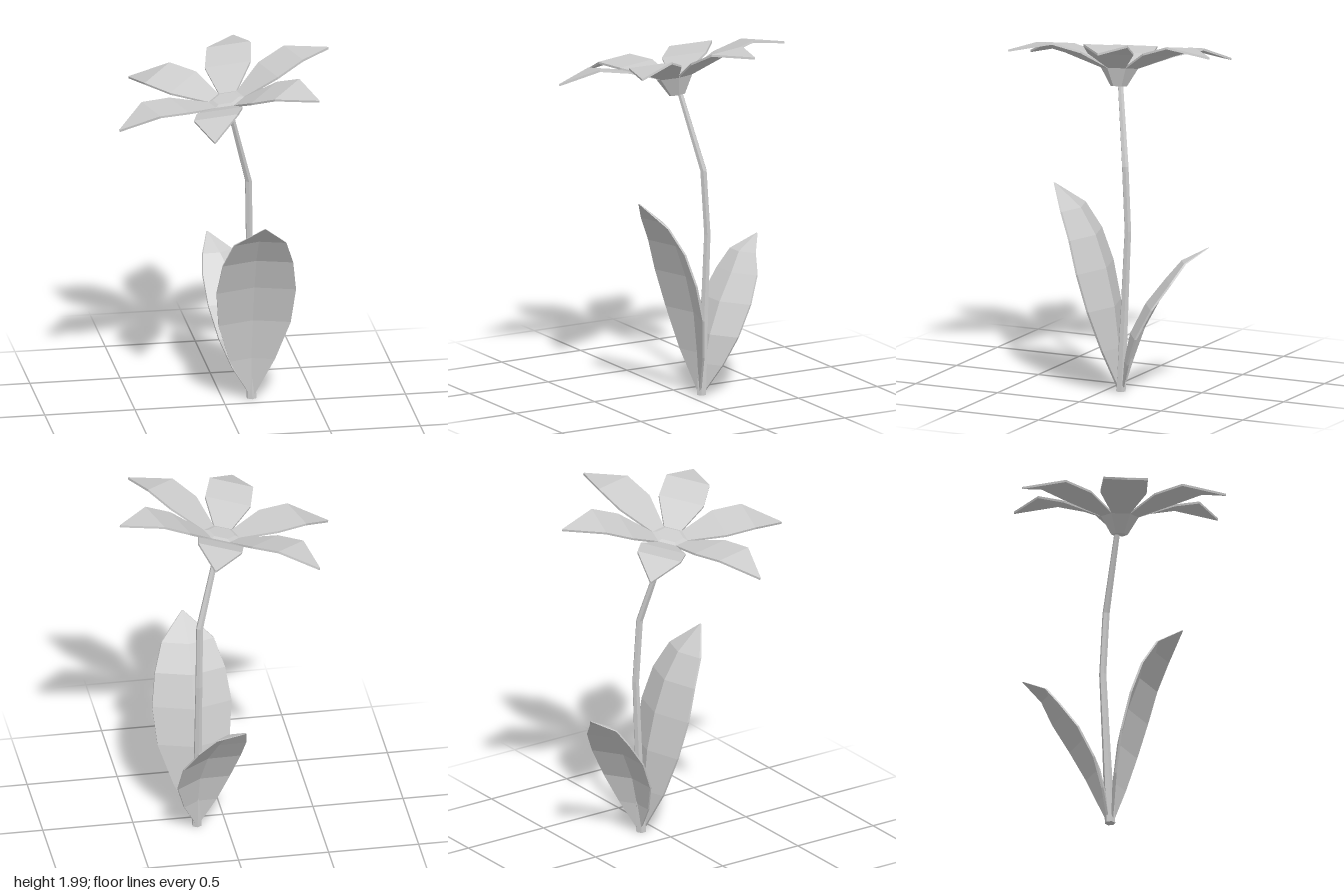
import * as THREE from 'three';

const V = (x, y, z) => new THREE.Vector3(x, y, z);
const material = new THREE.MeshStandardMaterial({ color: 0xcccccc, flatShading: true });

// Skin a series of closed loops (counter-clockwise about the direction of travel), capped at both ends
function loft(name, rings) {
  const n = rings[0].length;
  const index = [];
  for (let i = 0; i < rings.length - 1; i++) {
    for (let j = 0; j < n; j++) {
      const k = (j + 1) % n;
      const a = i * n + j, b = i * n + k, c = b + n, d = a + n;
      index.push(a, b, c, a, c, d);
    }
  }
  const last = (rings.length - 1) * n;
  const half = n / 2;
  // caps as strips between the two halves of the loop
  for (let j = 0; j < half - 1; j++) {
    const a = j, b = j + 1, c = n - 2 - j, d = n - 1 - j;
    index.push(a, c, b, a, d, c);
    index.push(last + a, last + b, last + c, last + a, last + c, last + d);
  }
  const geometry = new THREE.BufferGeometry().setFromPoints(rings.flat());
  geometry.setIndex(index);
  geometry.computeVertexNormals();
  const mesh = new THREE.Mesh(geometry, material);
  mesh.name = name;
  return mesh;
}

// Stem: tapering six-sided tube; stations are [x, y, z, radius]
function makeStem() {
  const stations = [
    [0.16, 0, -0.085, 0.029],
    [0.157, 0.45, -0.105, 0.023],
    [0.155, 0.9, -0.125, 0.02],
    [0.147, 1.26, -0.105, 0.02],
    [0.035, 1.69, -0.02, 0.016],
  ];
  return loft('stem', stations.map(([x, y, z, r]) =>
    Array.from({ length: 6 }, (_, i) => {
      const a = (i * Math.PI) / 3;
      return V(x + r * Math.sin(a), y, z + r * Math.cos(a));
    })));
}

// Leaf: creased blade whose edges curl outwards; stations are [x, y, z, halfWidth] along the midrib
function makeLeaf(name, outX, outZ, stations) {
  const out = V(outX, 0, outZ).normalize();
  const across = V(out.z, 0, -out.x);
  return loft(name, stations.map(([x, y, z, w]) => {
    const t = w > 0.01 ? 0.006 : 0.003;
    const at = (side, skin) => V(x, y, z)
      .addScaledVector(across, side * w)
      .addScaledVector(out, Math.abs(side) * w * 0.3 + skin * t);
    return [at(0, 1), at(1, 1), at(1, -1), at(0, -1), at(-1, -1), at(-1, 1)];
  }));
}

// Petal: thin arched blade along +x; stations are [distance, height, halfWidth]
function makePetal() {
  const stations = [
    [0.085, -0.004, 0.048],
    [0.275, 0.072, 0.127],
    [0.44, 0.112, 0.122],
    [0.645, 0.065, 0.003],
  ];
  const t = 0.006;
  return loft('petal', stations.map(([x, y, w]) =>
    [V(x, y + t, w), V(x, y - t, w), V(x, y - t, -w), V(x, y + t, -w)]));
}

// Flower head: hexagonal cup with six petals, tilted as a whole
function makeFlower() {
  const flower = new THREE.Group();
  flower.name = 'flowerHead';
  const turn = THREE.MathUtils.degToRad(15.5);

  const profile = [[0, -0.108], [0.045, -0.108], [0.108, 0], [0.075, 0.01], [0, 0.01]]
    .map(([r, y]) => new THREE.Vector2(r, y));
  const cup = new THREE.Mesh(new THREE.LatheGeometry(profile, 6), material);
  cup.name = 'flowerCup';
  cup.rotation.y = turn;
  flower.add(cup);

  for (let i = 0; i < 6; i++) {
    const petal = makePetal();
    petal.rotation.y = turn + (i * Math.PI) / 3;
    flower.add(petal);
  }
  flower.quaternion.setFromUnitVectors(V(0, 1, 0), V(-0.218, 1, 0.064).normalize());
  flower.position.set(0.007, 1.78, 0);
  return flower;
}

export function createModel() {
  const model = new THREE.Group();
  model.name = 'flower';
  model.add(makeStem(), makeFlower());

  model.add(makeLeaf('frontLeaf', 0, 1, [
    [0.16, 0.02, -0.075, 0.012],
    [0.155, 0.24, -0.065, 0.125],
    [0.16, 0.47, -0.04, 0.2],
    [0.16, 0.68, 0.01, 0.22],
    [0.16, 0.86, 0.075, 0.195],
    [0.16, 1.005, 0.165, 0.145],
    [0.17, 1.13, 0.315, 0.004],
  ]));

  model.add(makeLeaf('backLeaf', -0.31, -0.95, [
    [0.16, 0.02, -0.095, 0.012],
    [0.16, 0.17, -0.11, 0.1],
    [0.155, 0.33, -0.145, 0.16],
    [0.125, 0.5, -0.225, 0.175],
    [0.08, 0.64, -0.325, 0.145],
    [0.035, 0.74, -0.4, 0.09],
    [-0.01, 0.815, -0.535, 0.004],
  ]));

  return model;
}
